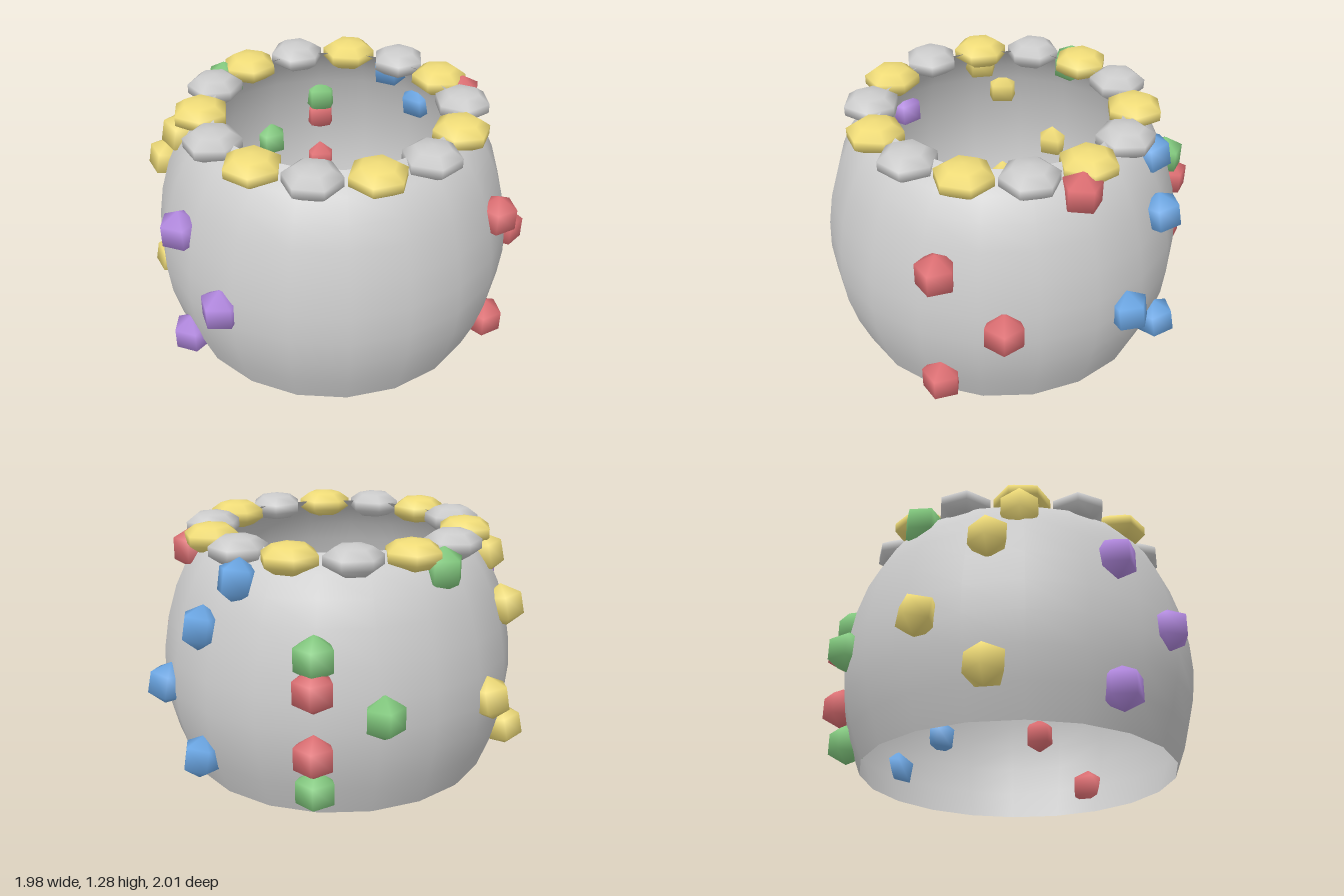
import * as THREE from 'three';

const CX = 0.02, CZ = -0.01; // axis of the shell
const rad = THREE.MathUtils.degToRad;
const paint = (color) => new THREE.MeshStandardMaterial({ color });

const yellow = paint(0xf0dc78), red = paint(0xe07074), green = paint(0x84cc80);
const blue = paint(0x6ca8e6), purple = paint(0xb48ae2), grey = paint(0xcccccc);

// Places a mesh around the axis, its local +x facing outward
function placeAround(mesh, degrees, radius, y, tilt = 0) {
  const a = rad(degrees);
  mesh.position.set(CX + radius * Math.cos(a), y, CZ + radius * Math.sin(a));
  mesh.rotation.set(0, -a, tilt);
  return mesh;
}

export function createModel() {
  const model = new THREE.Group();

  // Thin shell, open at both ends
  const profile = [
    [0.80, 0], [0.86, 0.16], [0.9, 0.32], [0.915, 0.47], [0.907, 0.62], [0.88, 0.78],
    [0.832, 0.94], [0.78, 1.05], [0.71, 1.15], [0.6, 1.22],
  ].map(([r, y]) => new THREE.Vector2(r, y));
  const shellMaterial = paint(0xcccccc);
  shellMaterial.side = THREE.DoubleSide;
  const shell = new THREE.Mesh(new THREE.LatheGeometry(profile, 20), shellMaterial);
  shell.name = 'shell';
  shell.position.set(CX, 0, CZ);
  shell.rotation.y = rad(4.5);
  model.add(shell);

  // Ring of flattened beads on the rim, alternating in colour
  const rim = new THREE.Group();
  rim.name = 'rimBeads';
  const beadGeometry = new THREE.SphereGeometry(0.148, 6, 5);
  beadGeometry.rotateY(rad(30));
  beadGeometry.scale(1, 0.51, 1);
  for (let i = 0; i < 14; i++) {
    const bead = new THREE.Mesh(beadGeometry, i % 2 ? grey : yellow);
    bead.name = 'rimBead';
    rim.add(placeAround(bead, 88.3 + (i * 360) / 14, 0.65, 1.2));
  }
  model.add(rim);

  // Studs on the wall: five-sided beads with one corner facing outward
  const studGeometry = new THREE.SphereGeometry(0.11, 5, 3);
  studGeometry.rotateY(Math.PI);
  const addStuds = (name, material, start, studs, tilt = 0) => {
    const cluster = new THREE.Group();
    cluster.name = name;
    for (const [degrees, radius, y] of studs) {
      const stud = new THREE.Mesh(studGeometry, material);
      stud.name = 'stud';
      cluster.add(placeAround(stud, start + degrees, radius, y, tilt));
    }
    model.add(cluster);
  };

  // [angle from the cluster's start, distance from the axis, height]
  const upright = [[0, 0.88, 0.82], [-20, 0.91, 0.54], [0, 0.875, 0.165]];
  const topStud = [-48, 0.735, 1.13];
  addStuds('purpleStuds', purple, 110, upright);
  addStuds('redStuds', red, -10, [...upright, topStud]);
  addStuds('greenStuds', green, -130, [...upright, topStud]);
  addStuds('backRedStuds', red, -130, [[0, 0.92, 0.68], [0, 0.92, 0.36]]);

  const leaning = [[-9.5, 0.752, 1.09], [0, 0.87, 0.865], [20, 0.925, 0.49], [0, 0.905, 0.21]];
  addStuds('yellowStuds', yellow, 150.5, leaning, 0.2);
  addStuds('blueStuds', blue, -90, leaning, 0.2);

  return model;
}
